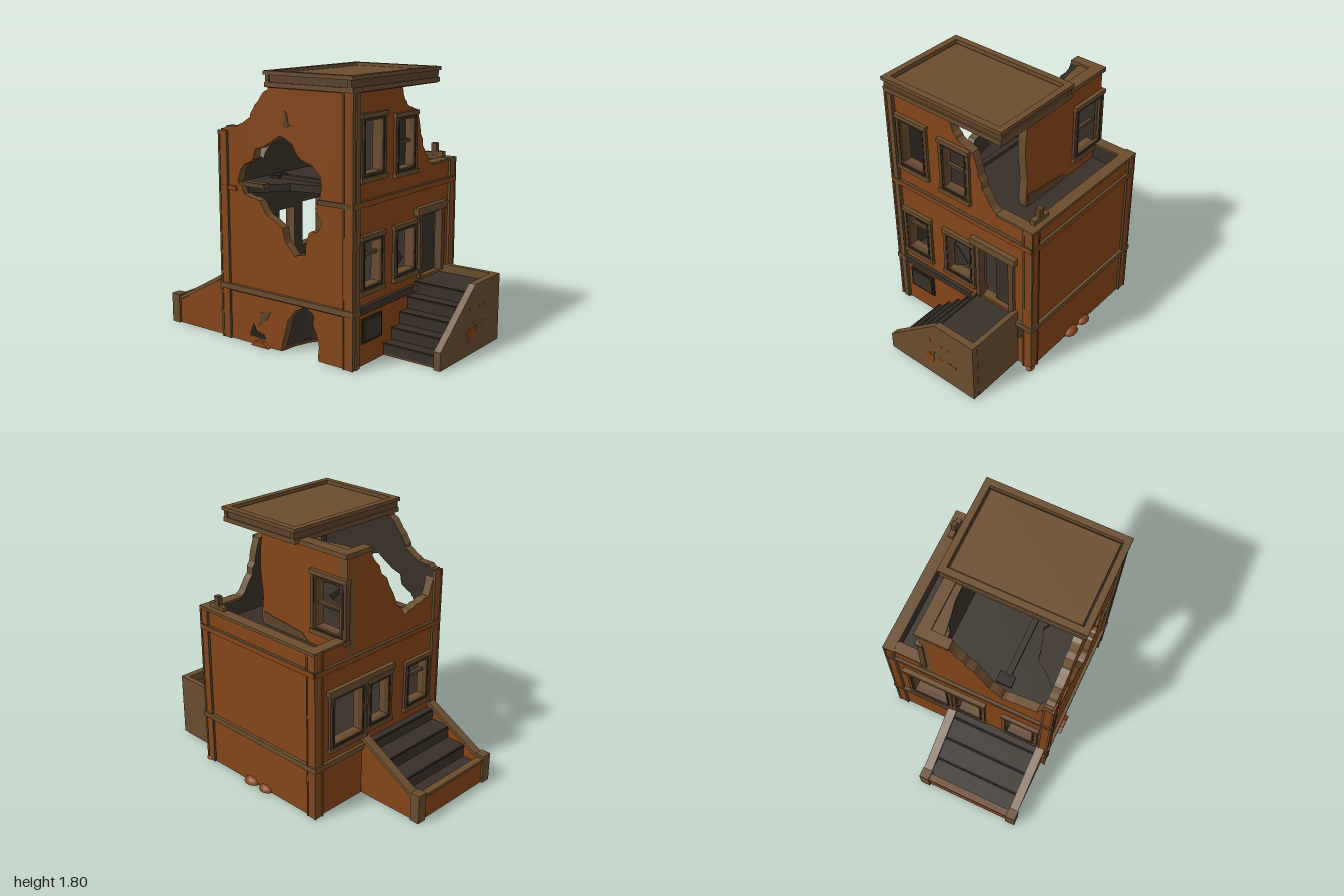
import * as THREE from 'three';

const mat = (name, color) => {
  const m = new THREE.MeshStandardMaterial({ color, side: THREE.DoubleSide });
  m.name = name;
  return m;
};
const brick = mat('brick', 0x844519);
const tan = mat('weathered stone', 0x694d2f);
const trim = mat('wood trim', 0x5b432a);
const earth = mat('foundation earth', 0x624326);
const dark = mat('dark interior', 0x383027);
const black = mat('soot', 0x28211b);

let seed = 7;
const rnd = () => (seed = (seed * 16807) % 2147483647) / 2147483647 - 0.5;

// Roughens a broken edge by adding displaced points between its corners
function jag(pts, amount = 0.022) {
  const out = [];
  pts.forEach((p, i) => {
    out.push(p);
    const q = pts[i + 1];
    if (!q) return;
    for (const t of [0.33, 0.67]) out.push([p[0] + (q[0] - p[0]) * t + rnd() * amount, p[1] + (q[1] - p[1]) * t + rnd() * amount]);
  });
  return out;
}
const vec = pts => pts.map(p => new THREE.Vector2(p[0], p[1]));
const rect = (u0, u1, v0, v1) => [[u0, v0], [u1, v0], [u1, v1], [u0, v1]];

function plate(parent, name, pts, z0, z1, material, holes = []) {
  const s = new THREE.Shape(vec(pts));
  holes.forEach(h => s.holes.push(new THREE.Path(vec(h))));
  const g = new THREE.ExtrudeGeometry(s, { depth: z1 - z0, bevelEnabled: false });
  g.translate(0, 0, z0);
  const m = new THREE.Mesh(g, material);
  m.name = name;
  parent.add(m);
  return m;
}
// Box given by its minimum and maximum on each axis
function box(parent, name, x0, x1, y0, y1, z0, z1, material) {
  const m = new THREE.Mesh(new THREE.BoxGeometry(x1 - x0, y1 - y0, z1 - z0), material);
  m.position.set((x0 + x1) / 2, (y0 + y1) / 2, (z0 + z1) / 2);
  m.name = name;
  parent.add(m);
  return m;
}
// Wall whose outer face is local z = 0: brick skin over a dark lining
function wall(root, name, angle, x, z, pts, holes) {
  const g = new THREE.Group();
  g.name = name;
  g.rotation.y = angle;
  g.position.set(x, 0, z);
  root.add(g);
  plate(g, name + 'Brick', pts, -0.035, 0, [brick, tan], holes);
  plate(g, name + 'Lining', pts, -0.06, -0.035, [dark, tan], holes);
  return g;
}
const inner = w => rect(w[0] + 0.04, w[1] - 0.04, w[2] + 0.05, w[3] - 0.045);

// Window surround, sill, lintel and sash
function frame(g, [u0, u1, v0, v1], rail, pane) {
  const w = new THREE.Group();
  w.name = 'window';
  g.add(w);
  plate(w, 'surround', rect(u0, u1, v0, v1), -0.02, 0.018, trim, [inner([u0, u1, v0, v1])]);
  plate(w, 'shadowLine', rect(u0 + 0.022, u1 - 0.022, v0 + 0.03, v1 - 0.027), 0.016, 0.021, black,
    [rect(u0 + 0.032, u1 - 0.032, v0 + 0.04, v1 - 0.037)]);
  box(w, 'sill', u0 - 0.005, u1 + 0.005, v0 - 0.003, v0 + 0.028, -0.02, 0.027, tan);
  box(w, 'lintel', u0 - 0.005, u1 + 0.005, v1 - 0.026, v1 + 0.003, -0.02, 0.027, tan);
  if (rail) box(w, 'sashRail', u0 + 0.04, u1 - 0.04, rail - 0.01, rail + 0.01, -0.035, -0.012, trim);
  if (pane) box(w, 'boardedPane', u0 + 0.03, u1 - 0.03, v0 + 0.03, v1 - 0.03, -0.058, -0.05, dark);
}

export function createModel() {
  const root = new THREE.Group();
  root.name = 'ruinedTownhouse';
  const L = -0.49, R = 0.56, F = 0.58, B = -0.58, UB = -0.305;

  // Front wall with blasted hole and broken basement arch
  const blast = [[-0.35, 1.07], [-0.33, 1.15], [-0.3, 1.19], [-0.22, 1.23], [-0.2, 1.3], [-0.1, 1.34], [0, 1.4], [0.1, 1.36],
    [0.17, 1.27], [0.25, 1.25], [0.32, 1.18], [0.32, 1.07], [0.28, 0.98], [0.33, 0.9], [0.3, 0.84], [0.23, 0.82],
    [0.2, 0.67], [0.12, 0.65], [0.05, 0.72], [0.02, 0.82], [-0.1, 0.88], [-0.17, 0.97], [-0.3, 1.0], [-0.35, 1.07]];
  const arch = [[0, 0], [0.02, 0.1], [0.06, 0.23], [0.12, 0.3], [0.2, 0.335], [0.26, 0.3], [0.26, 0.22], [0.3, 0.13], [0.3, 0]];
  const frontTop = [[-0.08, 1.7], [-0.13, 1.66], [-0.2, 1.58], [-0.24, 1.5], [-0.33, 1.45], [-0.42, 1.43], [L, 1.41]];
  const front = wall(root, 'frontWall', 0, 0, F,
    [[L, 0], ...jag(arch, 0.012), [R, 0], [R, 1.7], ...jag(frontTop)], [jag(blast, 0.016).slice(0, -1)]);

  // Right wall: local u runs towards the back
  const rw = [[-0.51, -0.25, 1.16, 1.57], [-0.15, 0.1, 1.14, 1.54], [-0.51, -0.26, 0.46, 0.83], [-0.15, 0.12, 0.46, 0.83]];
  const rightTop = [[-0.06, 1.7], [-0.03, 1.62], [0.02, 1.57], [0.12, 1.54], [0.16, 1.42], [0.19, 1.3], [0.26, 1.2], [0.31, 1.16]];
  const door = rect(0.16, 0.42, 0.42, 0.83);
  const right = wall(root, 'rightWall', Math.PI / 2, R, 0,
    [[-F, 0], [-B, 0], [-B, 1.16], ...jag(rightTop, 0.016).reverse(), [-F, 1.7]], [...rw.map(inner), door]);
  frame(right, rw[0]);
  frame(right, rw[1], 1.35, true);
  frame(right, rw[2], 0.7);
  frame(right, rw[3]);
  plate(right, 'brokenGlass', [[-0.1, 0.5], [0.02, 0.58], [-0.06, 0.68], [-0.1, 0.7]], -0.04, -0.034, dark);
  box(right, 'doorJamb', 0.14, 0.17, 0.42, 0.85, -0.03, 0.025, trim);
  box(right, 'doorJamb', 0.41, 0.45, 0.42, 0.85, -0.03, 0.025, trim);
  box(right, 'doorLintel', 0.1, 0.47, 0.85, 0.9, -0.03, 0.035, tan);
  box(right, 'doorLeaf', 0.26, 0.41, 0.42, 0.83, -0.055, -0.035, dark);
  box(right, 'noticeFrame', -0.485, -0.275, 0.145, 0.305, 0, 0.012, black);
  box(right, 'noticeBoard', -0.47, -0.29, 0.16, 0.29, 0.012, 0.02, dark);
  box(right, 'sootBand', -0.52, 0.08, 0.353, 0.392, 0, 0.026, dark);
  plate(right, 'sootStain', jag([[0.47, 0.2], [0.5, 0.24], [0.53, 0.33], [0.47, 0.33], [0.47, 0.2]], 0.008), 0, 0.004, dark);

  // Left wall: local u runs towards the front
  const lw = [[-0.46, -0.13, 0.44, 0.85], [-0.12, 0.12, 0.46, 0.83], [0.25, 0.51, 0.46, 0.83]];
  const leftTop = [[0.48, 1.23], [0.35, 1.21], [0.24, 1.17], [0.16, 1.26], [0.08, 1.42], [-0.02, 1.58], [-0.1, 1.71]];
  const left = wall(root, 'leftWall', -Math.PI / 2, L, 0,
    [[B, 0], [F, 0], [F, 1.4], [0.53, 1.38], ...jag(leftTop), [UB, 1.72], [UB, 1.16], [B, 1.16]], lw.map(inner));
  lw.forEach((w, i) => frame(left, w, i === 2 ? 0.7 : 0));
  box(left, 'doorLintel', -0.48, 0.13, 0.845, 0.88, -0.02, 0.032, tan);

  // Back wall, full width up to the terrace parapet
  const back = wall(root, 'backWall', Math.PI, 0, B, rect(-R, -L, 0, 1.16), []);

  // Upper storey rear wall, set back behind the terrace
  const uw = [0.195, 0.5, 1.14, 1.56];
  const upper = wall(root, 'upperRearWall', Math.PI, 0, UB,
    [[-0.27, 1.03], [-L, 1.03], [-L, 1.72], ...jag([[-0.26, 1.72], [-0.285, 1.5], [-0.27, 1.3], [-0.28, 1.1]], 0.016)], [inner(uw)]);
  frame(upper, uw, 1.35);
  plate(upper, 'dampStain', jag([[-0.26, 1.05], [0.15, 1.05], [0.1, 1.1], [-0.1, 1.12], [-0.26, 1.14], [-0.26, 1.05]], 0.01), 0, 0.004, trim);
  box(root, 'rearWallCap', L - 0.01, -0.08, 1.695, 1.725, UB - 0.02, UB + 0.06, tan);
  box(root, 'leftWallCap', L - 0.01, L + 0.06, 1.695, 1.725, UB, -0.1, tan);

  // Floors, the upper one bitten away behind the hole
  const flat = (name, pts, y, t, m) => {
    const p = plate(root, name, pts.map(q => [q[0], -q[1]]), 0, t, m);
    p.rotation.x = -Math.PI / 2;
    p.position.y = y;
  };
  const pit = Array.from({ length: 9 }, (_, i) => [0.15 + 0.15 * Math.cos(i * Math.PI / 8), 0.575 - 0.33 * Math.sin(i * Math.PI / 8)]);
  flat('foundation', [[L + 0.005, B + 0.005], [R - 0.005, B + 0.005], [R - 0.005, 0.575], ...pit, [L + 0.005, 0.575]], -0.001, 0.02, earth);
  flat('groundFloor', rect(L + 0.03, R - 0.03, B + 0.03, F - 0.03), 0.36, 0.06, dark);
  flat('upperFloor', [[L + 0.03, B + 0.03], [R - 0.03, B + 0.03], [R - 0.03, 0.54],
    ...jag([[0.36, 0.54], [0.3, 0.35], [0.1, 0.27], [-0.12, 0.33], [-0.3, 0.54]]), [L + 0.03, 0.54]], 1.0, 0.05, dark);
  // Remnant of the roof deck along the rear wall
  flat('roofRemnant', [[L + 0.05, UB + 0.03], [-0.08, UB + 0.03], ...jag([[-0.08, -0.2], [-0.2, -0.2], [-0.42, -0.16]], 0.01), [L + 0.05, -0.16]], 1.695, 0.015, [tan, dark]);
  box(root, 'brokenFloorBoard', -0.34, -0.15, 1.045, 1.075, 0.5, 0.56, trim);
  box(root, 'floorJoist', -0.3, 0.32, 1.05, 1.075, 0.18, 0.22, dark);
  box(root, 'floorRubble', -0.37, -0.29, 1.05, 1.07, 0.14, 0.25, black);
  // Hollow behind the basement arch
  const hollow = new THREE.Mesh(new THREE.CylinderGeometry(0.16, 0.16, 0.36, 14, 1, true, Math.PI / 2, Math.PI), dark);
  hollow.scale.z = 2.06;
  hollow.position.set(0.15, 0.18, 0.57);
  hollow.name = 'basementHollow';
  root.add(hollow);

  // Brick corner pilasters with stone edging
  for (const [x, z, h] of [[L, F, 1.4], [R, F, 1.7], [L, B, 1.17], [R, B, 1.16]]) {
    const sx = Math.sign(x), sz = Math.sign(z);
    const span = (p, s, a, b) => [p + s * a, p + s * b].sort((i, j) => i - j);
    box(root, 'cornerPilaster', ...span(x, sx, 0.012, -0.055), 0, h, ...span(z, sz, 0.012, -0.055), brick);
    box(root, 'pilasterEdge', ...span(x, sx, -0.05, -0.06), 0, h, ...span(z, sz, 0, 0.016), trim);
    box(root, 'pilasterEdge', ...span(x, sx, 0.002, 0.016), 0, h, ...span(z, sz, 0.002, 0.016), tan);
    box(root, 'pilasterEdge', ...span(x, sx, 0, 0.016), 0, h, ...span(z, sz, -0.046, -0.06), tan);
  }
  box(root, 'drainPipe', R, R + 0.02, 0, 1.7, F - 0.05, F - 0.014, tan);

  // Belt courses
  for (const [g, a, b] of [[front, L, R], [right, -F, -B], [left, B, F], [back, -R, -L]]) {
    box(g, 'lowerBelt', a - 0.02, b + 0.02, 0.345, 0.382, -0.01, 0.022, tan);
    box(g, 'beltShadow', a, b, 0.335, 0.345, -0.01, 0.01, dark);
    if (g !== front) {
      box(g, 'upperBelt', a - 0.01, b + 0.01, 1.01, 1.04, -0.01, 0.02, brick);
      box(g, 'upperBeltEdge', a - 0.01, b + 0.01, 1.04, 1.048, -0.01, 0.022, trim);
    }
  }
  box(front, 'upperBelt', L, -0.36, 1.015, 1.045, -0.01, 0.014, brick);
  box(front, 'upperBelt', 0.31, R, 1.01, 1.04, -0.01, 0.014, trim);

  // Terrace parapet caps and broken stubs
  box(root, 'parapetCap', L - 0.015, R + 0.015, 1.155, 1.175, B - 0.018, B + 0.06, tan);
  for (const x of [L, R - 0.06]) box(root, 'parapetCap', x - 0.008, x + 0.068, 1.155, 1.172, B, UB, tan);
  box(root, 'parapetStub', 0.42, 0.46, 1.17, 1.265, -0.56, -0.525, trim);
  box(root, 'parapetStub', 0.46, 0.51, 1.17, 1.21, -0.56, -0.525, tan);
  box(root, 'parapetStub', 0.37, 0.42, 1.17, 1.2, -0.56, -0.525, tan);

  // Surviving roof slab with raised rim
  const roof = new THREE.Group();
  roof.name = 'roof';
  root.add(roof);
  const [x0, x1, z0, z1] = [-0.1, 0.575, -0.36, 0.6];
  box(roof, 'soffit', x0 + 0.01, x1 - 0.01, 1.695, 1.72, z0 + 0.01, z1 - 0.01, dark);
  box(roof, 'roofDeck', x0 + 0.05, x1 - 0.05, 1.72, 1.78, z0 + 0.05, z1 - 0.05, tan);
  box(roof, 'deckShadow', x0 + 0.03, x1 - 0.03, 1.72, 1.765, z0 + 0.03, z1 - 0.03, black);
  for (const [y0, y1, e] of [[1.7, 1.73, 0], [1.73, 1.775, -0.01], [1.775, 1.8, 0.006]]) {
    const m = e < 0 ? trim : tan;
    box(roof, 'cornice', x0 - e, x1 + e, y0, y1, z1 - 0.038, z1 + e, m);
    box(roof, 'cornice', x0 - e, x1 + e, y0, y1, z0 - e, z0 + 0.038, m);
    box(roof, 'cornice', x0 - e, x0 + 0.038, y0, y1, z0, z1, m);
    box(roof, 'cornice', x1 - 0.038, x1 + e, y0, y1, z0, z1, m);
  }

  // Right stair, descending to the front behind a solid side panel
  const rs = new THREE.Group();
  rs.name = 'rightStair';
  root.add(rs);
  box(rs, 'stairBase', R, 0.96, 0, 0.012, -0.45, 0.235, earth);
  for (let i = 0; i < 5; i++) {
    const y = 0.08 * (i + 1), z = 0.235 - 0.09 * i;
    box(rs, 'step', R, 0.96, 0.012, y, -0.45, z, dark);
    box(rs, 'stepNosing', R, 0.955, y - 0.01, y + 0.003, z - 0.008, z + 0.006, black);
  }
  const panel = plate(rs, 'sidePanel', [[-0.265, 0], [0.47, 0], [0.47, 0.455], [0.15, 0.455], [-0.265, 0.12]], 0.95, 0.998, tan);
  panel.rotation.y = Math.PI / 2;
  box(rs, 'rearPanel', R, 0.955, 0, 0.455, -0.472, -0.435, tan);
  const scar = (u, v, r, m) => {
    const p = jag(Array.from({ length: 6 }, (_, i) => [u + r * Math.cos(i * 1.05), v + r * 1.3 * Math.sin(i * 1.05)]), r * 0.8);
    plate(rs, 'plasterScar', p, 0.998, 1.0, m).rotation.y = Math.PI / 2;
  };
  [[0.09, 0.13, 0.038], [0.18, 0.16, 0.02], [0.27, 0.17, 0.022], [0.09, 0.29, 0.018]].forEach(s => scar(...s, brick));
  [[0.2, 0.3, 0.008], [0.26, 0.3, 0.01], [0.32, 0.18, 0.009], [0.13, 0.2, 0.008]].forEach(s => scar(...s, trim));

  // Left stair, descending to the side between two sloping walls
  const ls = new THREE.Group();
  ls.name = 'leftStair';
  root.add(ls);
  box(ls, 'stairBase', -0.96, L, 0, 0.012, -0.12, 0.54, earth);
  [[-0.95, 0.13], [-0.82, 0.22], [-0.68, 0.31], [-0.54, 0.39]].forEach(([x, y]) => {
    box(ls, 'step', x, L, 0.012, y, -0.12, 0.54, dark);
    box(ls, 'stepNosing', x - 0.006, x + 0.008, y - 0.01, y + 0.003, -0.12, 0.54, black);
  });
  for (const z of [-0.15, 0.525]) {
    plate(ls, 'sideWall', [[-0.97, 0], [L, 0], [L, 0.41], [-0.97, 0.15]], z, z + 0.04, brick);
    plate(ls, 'sideCoping', [[-0.95, 0.155], [L, 0.41], [L, 0.44], [-0.95, 0.18]], z - 0.012, z + 0.05, tan);
    box(ls, 'endPost', -1, -0.93, 0, 0.205, z - 0.015, z + 0.055, tan);
  }
  box(ls, 'endWall', -0.985, -0.95, 0, 0.165, -0.12, 0.54, brick);
  box(ls, 'endCoping', -0.995, -0.945, 0.165, 0.185, -0.12, 0.54, tan);

  // Chipped plaster and a dent on the front
  plate(front, 'dent', jag([[-0.27, 0.05], [-0.14, 0.05], [-0.15, 0.08], [-0.21, 0.09], [-0.24, 0.14], [-0.27, 0.05]], 0.01), 0, 0.004, black);
  plate(front, 'dentLip', [[-0.24, 0], [-0.2, 0.035], [-0.14, 0.035], [-0.09, 0]], 0, 0.03, brick);
  plate(front, 'dentEdge', jag([[-0.2, 0.13], [-0.13, 0.18], [-0.08, 0.25], [-0.17, 0.23], [-0.2, 0.13]], 0.01), 0, 0.004, trim);
  plate(front, 'chip', jag([[0.03, 1.45], [0.1, 1.47], [0.07, 1.5], [0.05, 1.56], [0.03, 1.45]], 0.015), 0, 0.004, trim);

  // Crumbled mounds at the foot of the back wall
  for (const [x, r] of [[-0.02, 0.04], [0.12, 0.045], [R, 0.025]]) {
    const m = new THREE.Mesh(new THREE.SphereGeometry(r, 10, 5, 0, Math.PI * 2, 0, Math.PI / 2), brick);
    m.scale.x = 1.4;
    m.position.set(x, 0, B);
    m.name = 'rubble';
    root.add(m);
  }
  return root;
}
